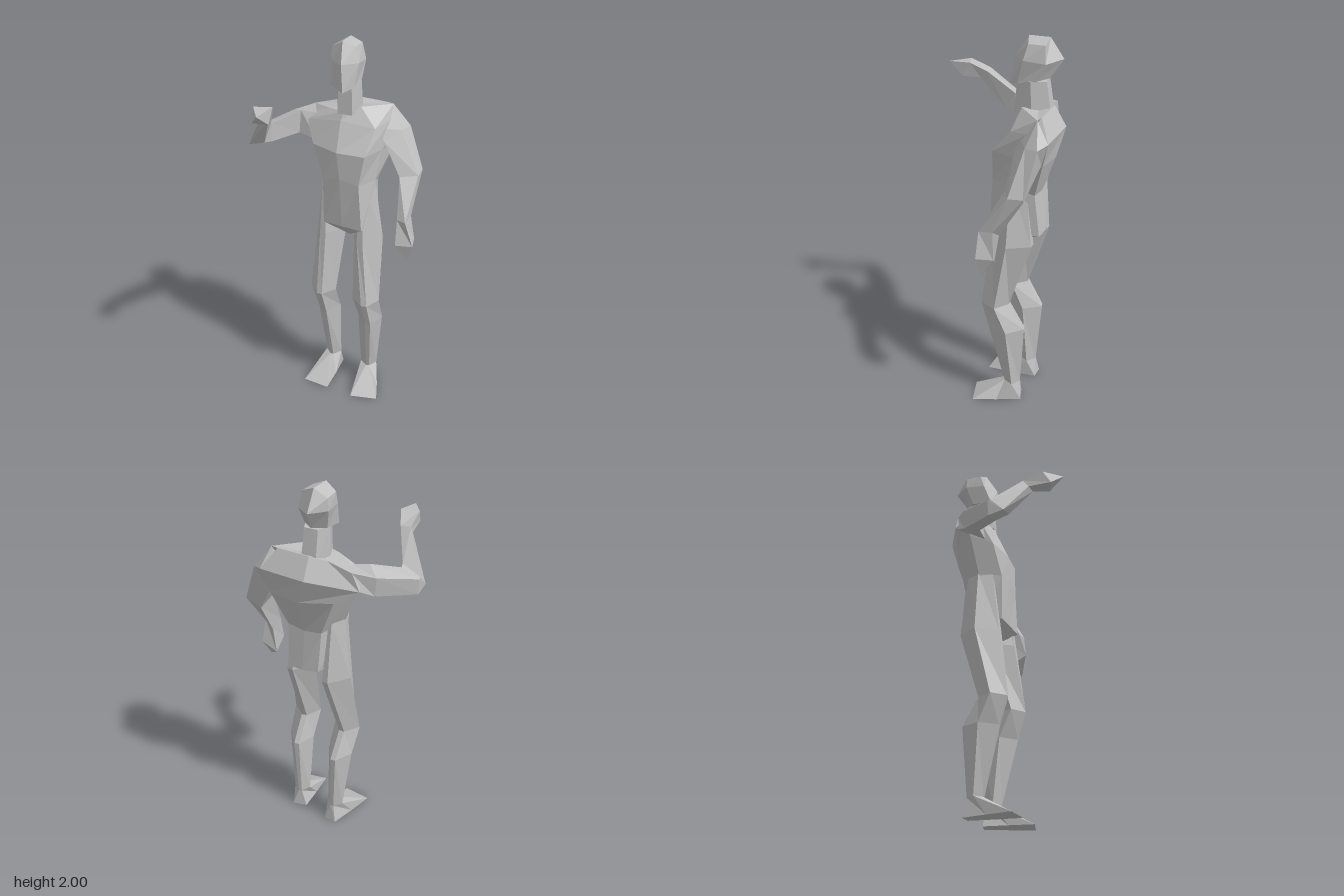
import * as THREE from 'three';

const grey = new THREE.MeshStandardMaterial({ color: 0xbfbfbf });
grey.name = 'plain grey';

// Flat-faceted skin over a list of cross-sections; a one-point section closes to a tip.
function loft(name, rings) {
  const tris = [];
  const middle = (r) => [0, 1, 2].map((k) => r.reduce((s, p) => s + p[k], 0) / r.length);
  const cap = (ring, tip, flip) => ring.forEach((p, i) => {
    const q = ring[(i + 1) % ring.length];
    tris.push(flip ? [q, p, tip] : [p, q, tip]);
  });
  const full = rings.filter((r) => r.length > 1);
  for (let j = 0; j + 1 < full.length; j++) {
    full[j].forEach((a, i) => {
      const n = (i + 1) % full[j].length;
      const b = full[j][n], c = full[j + 1][n], d = full[j + 1][i];
      tris.push([a, b, c], [a, c, d]);
    });
  }
  cap(full[0], middle(rings[0]), true);
  cap(full[full.length - 1], middle(rings[rings.length - 1]), false);

  // Turn all faces outward using the sign of the enclosed volume
  const v = (p) => new THREE.Vector3(...p);
  const volume = tris.reduce((s, [a, b, c]) => s + v(a).dot(v(b).cross(v(c))), 0);
  if (volume < 0) tris.forEach((t) => t.reverse());

  const geometry = new THREE.BufferGeometry();
  geometry.setAttribute('position', new THREE.Float32BufferAttribute(tris.flat(2), 3));
  geometry.computeVertexNormals();
  const mesh = new THREE.Mesh(geometry, grey);
  mesh.name = name;
  return mesh;
}

// Six-cornered level section: a diamond with blunted front and back, turned by yaw
function section([y, cx, cz, hw, hd], yaw, blunt) {
  const c = Math.cos(yaw), s = Math.sin(yaw), b = hw * blunt;
  return [[-b, hd], [b, hd], [hw, 0], [b, -hd], [-b, -hd], [-hw, 0]]
    .map(([x, z]) => [cx + x * c + z * s, y, cz - x * s + z * c]);
}

function leg(name, centres, yaw, sole) {
  const group = new THREE.Group();
  group.name = name;
  const sizes = [ // height, depth position, half width, half depth
    [1.31, -0.155, 0.04, 0.07], [0.97, -0.155, 0.085, 0.11], [0.6, -0.075, 0.073, 0.074],
    [0.455, -0.14, 0.068, 0.094], [0.1, -0.17, 0.045, 0.042],
  ];
  const rings = sizes.map(([y, z, w, d], i) => section([y, centres[i], z, w, d], i > 1 ? yaw : 0, 0.2));
  group.add(loft('legLimb', rings));
  group.add(loft('foot', [rings[4], sole.map(([x, z]) => [x, 0, z])]));
  return group;
}

export function createModel() {
  const model = new THREE.Group();
  model.name = 'figure';

  // Torso sections run front right, front, front left, left, back left, back, back right, right
  model.add(loft('torso', [
    [[0.04, 0.945, -0.14]],
    [[-0.065, 1.045, -0.04], [0.045, 1.045, -0.035], [0.158, 1.045, -0.035], [0.17, 1.04, -0.15],
      [0.13, 1.02, -0.295], [0.04, 1.02, -0.295], [-0.045, 1.03, -0.28], [-0.08, 1.04, -0.15]],
    [[-0.07, 1.3, -0.04], [0.03, 1.32, -0.03], [0.135, 1.3, -0.04], [0.18, 1.3, -0.15],
      [0.14, 1.25, -0.27], [0.04, 1.24, -0.27], [-0.055, 1.25, -0.26], [-0.125, 1.3, -0.15]],
    [[-0.14, 1.47, -0.065], [0.01, 1.46, -0.035], [0.16, 1.46, -0.05], [0.195, 1.46, -0.18],
      [0.2, 1.44, -0.33], [0.03, 1.43, -0.335], [-0.14, 1.45, -0.275], [-0.21, 1.5, -0.17]],
    [[-0.2, 1.58, -0.115], [0, 1.61, -0.1], [0.17, 1.58, -0.15], [0.21, 1.6, -0.26],
      [0.225, 1.57, -0.366], [-0.03, 1.57, -0.36], [-0.26, 1.53, -0.235], [-0.24, 1.58, -0.19]],
    [[-0.08, 1.65, -0.14], [0.01, 1.655, -0.12], [0.08, 1.675, -0.17], [0.2, 1.67, -0.3],
      [0.16, 1.672, -0.305], [-0.02, 1.675, -0.3], [-0.1, 1.655, -0.26], [-0.22, 1.62, -0.24]],
  ]));

  model.add(loft('neck', [
    section([1.64, 0.002, -0.205, 0.07, 0.09], 0.15, 0.55),
    section([1.8, 0, -0.195, 0.064, 0.073], 0.15, 0.55),
  ]));

  // Head sections run front, front left, back left, back, back right, front right
  model.add(loft('head', [
    [[0.02, 1.765, -0.078], [0.058, 1.785, -0.135], [0.055, 1.8, -0.225],
      [-0.015, 1.805, -0.272], [-0.07, 1.8, -0.22], [-0.06, 1.785, -0.11]],
    [[0, 1.9, -0.1], [0.067, 1.9, -0.165], [0.052, 1.89, -0.275],
      [-0.04, 1.9, -0.333], [-0.1, 1.9, -0.25], [-0.08, 1.9, -0.15]],
    [[-0.022, 2, -0.158], [0.04, 1.975, -0.18], [0.035, 1.975, -0.265],
      [-0.03, 2, -0.265], [-0.095, 1.96, -0.25], [-0.085, 1.965, -0.17]],
    [[-0.026, 2, -0.21]],
  ]));

  // Raised right arm: sections run top inner, top outer, bottom outer, bottom inner
  model.add(loft('rightArm', [
    [[-0.16, 1.61, -0.14], [-0.22, 1.62, -0.24], [-0.25, 1.53, -0.232], [-0.14, 1.48, -0.1]],
    [[-0.235, 1.62, -0.11], [-0.31, 1.59, -0.17], [-0.3, 1.49, -0.165], [-0.24, 1.5, -0.1]],
    [[-0.33, 1.575, 0.02], [-0.43, 1.54, 0.02], [-0.425, 1.455, 0.025], [-0.33, 1.48, 0.03]],
    [[-0.325, 1.585, 0.04], [-0.428, 1.545, 0.035], [-0.42, 1.475, 0.105], [-0.33, 1.5, 0.1]],
    [[-0.235, 1.715, 0.16], [-0.29, 1.72, 0.165], [-0.285, 1.68, 0.195], [-0.235, 1.677, 0.2]],
    [[-0.187, 1.765, 0.237], [-0.275, 1.762, 0.27], [-0.26, 1.695, 0.31], [-0.187, 1.69, 0.28]],
    [[-0.2, 1.755, 0.363]],
  ]));

  // Lowered left arm: sections run outer front, outer back, inner back, inner front
  model.add(loft('leftArm', [
    [[0.2, 1.67, -0.3], [0.225, 1.57, -0.366], [0.16, 1.48, -0.33], [0.16, 1.57, -0.19]],
    [[0.265, 1.55, -0.265], [0.285, 1.555, -0.335], [0.2, 1.45, -0.325], [0.205, 1.5, -0.19]],
    [[0.383, 1.335, -0.23], [0.375, 1.34, -0.307], [0.305, 1.29, -0.28], [0.3, 1.33, -0.18]],
    [[0.385, 1.13, -0.08], [0.385, 1.14, -0.155], [0.33, 1.1, -0.165], [0.335, 1.13, -0.09]],
    [[0.43, 1, -0.083], [0.405, 1, -0.168], [0.332, 0.945, -0.14], [0.345, 1, -0.055]],
    [[0.4, 0.895, -0.1]],
  ]));

  // Soles run inner and outer toe, side, two heel corners, side
  model.add(leg('rightLeg', [-0.085, -0.075, -0.088, -0.085, -0.07], 0.15,
    [[-0.15, 0.047], [0, 0.05], [-0.015, -0.09], [-0.035, -0.225], [-0.105, -0.225], [-0.13, -0.09]]));
  model.add(leg('leftLeg', [0.135, 0.145, 0.175, 0.175, 0.16], 0.3,
    [[0.153, 0.055], [0.297, 0.01], [0.245, -0.11], [0.185, -0.23], [0.11, -0.205], [0.13, -0.075]]));

  return model;
}
